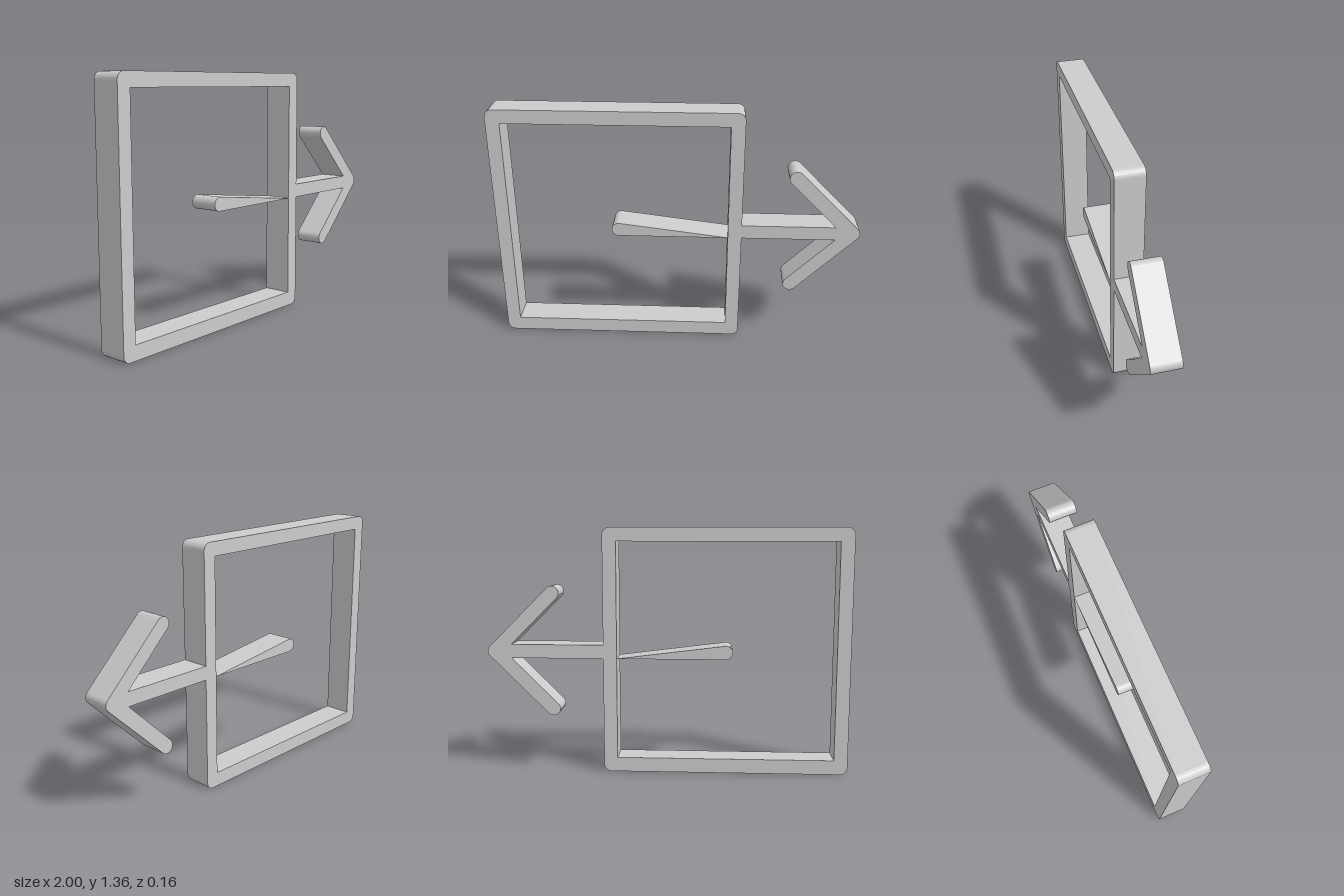
import * as THREE from 'three';

const DEPTH = 0.16, MID = 0.68, HALF = 0.038, R = 0.039;

// Extrude a flat outline, centred on z = 0
function slab(name, shape, material, curveSegments) {
  const geometry = new THREE.ExtrudeGeometry(shape, { depth: DEPTH, bevelEnabled: false, curveSegments });
  geometry.translate(0, 0, -DEPTH / 2);
  const mesh = new THREE.Mesh(geometry, material);
  mesh.name = name;
  return mesh;
}

export function createModel() {
  const group = new THREE.Group();
  group.name = 'exitSign';
  const grey = new THREE.MeshStandardMaterial({ color: 0xcccccc });
  grey.name = 'light grey';
  const PI = Math.PI;

  // Square frame: rounded outside corners, sharp opening
  const x0 = -1, x1 = 0.355, y0 = 0, y1 = 1.36, c = 0.04;
  const frame = new THREE.Shape();
  frame.absarc(x0 + c, y0 + c, c, PI, 1.5 * PI);
  frame.absarc(x1 - c, y0 + c, c, 1.5 * PI, 2 * PI);
  frame.absarc(x1 - c, y1 - c, c, 0, 0.5 * PI);
  frame.absarc(x0 + c, y1 - c, c, 0.5 * PI, PI);
  frame.closePath();
  const opening = [[-0.925, 0.08], [-0.925, 1.285], [0.28, 1.285], [0.28, 0.08]];
  frame.holes.push(new THREE.Path(opening.map(([x, y]) => new THREE.Vector2(x, y))));
  group.add(slab('frame', frame, grey, 3));

  // Arrow shaft inside the frame, with a rounded tail
  const tail = new THREE.Shape();
  tail.moveTo(0.28, MID + HALF);
  tail.absarc(-0.36 + HALF, MID, HALF, 0.5 * PI, 1.5 * PI);
  tail.lineTo(0.28, MID - HALF);
  tail.closePath();
  group.add(slab('arrowTail', tail, grey, 6));

  // Outer shaft and arrowhead with rounded arm ends and tip
  const tipX = 0.96, endX = 0.637, rise = tipX - endX;
  const inner = tipX - R * Math.SQRT2 - HALF;
  const head = new THREE.Shape();
  head.moveTo(x1, MID - HALF);
  head.lineTo(inner, MID - HALF);
  head.absarc(endX, MID - rise, R, 0.75 * PI, 1.75 * PI);
  head.absarc(tipX, MID, R, -0.25 * PI, 0.25 * PI);
  head.absarc(endX, MID + rise, R, 0.25 * PI, 1.25 * PI);
  head.lineTo(inner, MID + HALF);
  head.lineTo(x1, MID + HALF);
  head.closePath();
  group.add(slab('arrowHead', head, grey, 6));

  return group;
}
